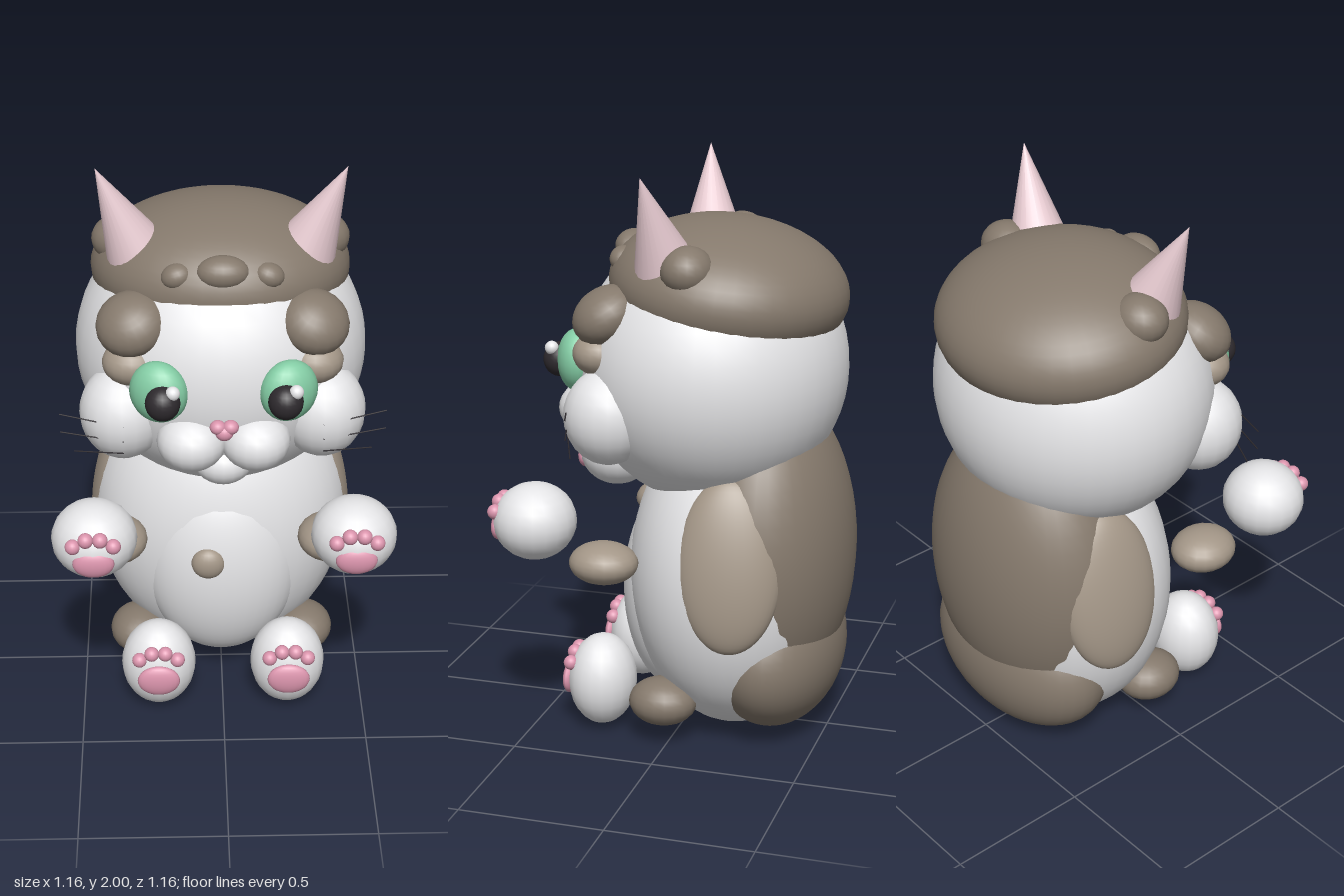
import * as THREE from 'three';

const mat = (name, color) => {
  const m = new THREE.MeshStandardMaterial({ color });
  m.name = name;
  return m;
};

export function createModel() {
  const white = mat('white fur', 0xececee);
  const brown = mat('brown fur', 0x85796c);
  const tan = mat('tan fur', 0xa39687);
  const pink = mat('paw pink', 0xdb95ad);
  const earPink = mat('ear pink', 0xe6cad0);
  const green = mat('eye green', 0x84cda5);
  const black = mat('black', 0x2e2a2e);

  const model = new THREE.Group();
  model.name = 'kitten';
  const big = new THREE.SphereGeometry(1, 40, 28);
  const small = new THREE.SphereGeometry(1, 20, 14);

  // Ellipsoid from centre, radii and rotation
  function blob(name, material, pos, radii, rot = [0, 0, 0], parent = model) {
    const mesh = new THREE.Mesh(Math.max(...radii) > 0.2 ? big : small, material);
    mesh.name = name;
    mesh.position.set(...pos);
    mesh.scale.set(...radii);
    mesh.rotation.set(...rot);
    parent.add(mesh);
  }

  // Same ellipsoid on both sides of x = 0
  function pair(name, material, [x, y, z], radii, [rx, ry, rz] = [0, 0, 0]) {
    blob(name + 'Left', material, [x, y, z], radii, [rx, ry, rz]);
    blob(name + 'Right', material, [-x, y, z], radii, [rx, -ry, -rz]);
  }

  // Body with coat patches
  blob('body', white, [0, 0.575, -0.17], [0.46, 0.57, 0.375]);
  blob('belly', white, [0, 0.49, 0.03], [0.285, 0.4, 0.21]);
  blob('bellySpot', tan, [-0.05, 0.57, 0.22], [0.06, 0.06, 0.04]);
  blob('backPatch', brown, [0, 0.66, -0.28], [0.41, 0.56, 0.3]);
  blob('rumpPatch', brown, [0, 0.3, -0.32], [0.39, 0.28, 0.23]);
  pair('flankPatch', tan, [0.365, 0.7, -0.235], [0.085, 0.3, 0.18], [0, 0.2, 0.2]);

  // Head
  blob('head', white, [0, 1.3, -0.075], [0.5, 0.48, 0.465]);
  blob('headCap', brown, [0, 1.575, -0.13], [0.442, 0.24, 0.41], [-0.12, 0, 0]);
  pair('cheek', white, [0.335, 1.18, 0.197], [0.148, 0.165, 0.152]);
  pair('muzzle', white, [0.106, 1.14, 0.33], [0.117, 0.1, 0.12]);
  blob('chin', white, [0, 1.03, 0.26], [0.105, 0.085, 0.11]);

  // Face markings
  pair('browPatch', brown, [0.298, 1.518, 0.213], [0.122, 0.092, 0.12], [0.5, 0, -0.25]);
  pair('eyePatch', tan, [0.3, 1.387, 0.235], [0.1, 0.075, 0.092]);
  blob('foreheadSpot', brown, [0, 1.7, 0.213], [0.088, 0.055, 0.06]);
  pair('foreheadSpotSmall', brown, [0.15, 1.682, 0.2], [0.053, 0.042, 0.046], [0, 0, -0.3]);

  // Ears
  for (const s of [1, -1]) {
    const base = new THREE.Vector3(s * 0.28, 1.685, 0.01);
    const tip = new THREE.Vector3(s * 0.41, 2, 0.056);
    const axis = tip.clone().sub(base);
    const ear = new THREE.Mesh(new THREE.ConeGeometry(0.108, axis.length(), 24), earPink);
    ear.name = s > 0 ? 'earLeft' : 'earRight';
    ear.position.copy(base).add(tip).multiplyScalar(0.5);
    ear.quaternion.setFromUnitVectors(new THREE.Vector3(0, 1, 0), axis.normalize());
    model.add(ear);
  }
  pair('earPatch', brown, [0.335, 1.69, -0.08], [0.1, 0.083, 0.09]);

  // Eyes, with both highlights shifted to the same side
  pair('iris', green, [0.213, 1.335, 0.347], [0.1, 0.108, 0.07], [0, 0.35, 0]);
  pair('pupil', black, [0.2, 1.33, 0.415], [0.058, 0.06, 0.057]);
  for (const x of [-0.167, 0.233]) {
    blob('eyeHighlight', white, [x, 1.375, 0.432], [0.024, 0.024, 0.024]);
  }

  // Nose
  pair('noseTop', pink, [0.021, 1.236, 0.413], [0.027, 0.024, 0.026]);
  blob('noseTip', pink, [0, 1.217, 0.415], [0.03, 0.028, 0.027]);

  // Whiskers
  for (const s of [1, -1]) {
    for (const [x, y0, y1] of [[0.545, 1.2, 1.213], [0.545, 1.145, 1.145], [0.5, 1.1, 1.07]]) {
      const path = new THREE.LineCurve3(
        new THREE.Vector3(s * 0.33, y0, 0.345),
        new THREE.Vector3(s * x, y1, 0.275));
      const whisker = new THREE.Mesh(new THREE.TubeGeometry(path, 1, 0.0025, 6), black);
      whisker.name = 'whisker';
      model.add(whisker);
    }
  }

  // Limbs
  pair('arm', tan, [0.37, 0.67, 0.208], [0.108, 0.072, 0.12]);
  pair('leg', brown, [0.3, 0.155, 0.02], [0.107, 0.083, 0.12]);

  // Paws with one palm pad and four toe pads each
  function paw(name, [x, y, z], radii, palm, palmRadii, toes, toeZ) {
    for (const s of [1, -1]) {
      const g = new THREE.Group();
      g.name = name + (s > 0 ? 'Left' : 'Right');
      g.position.set(s * x, y, z);
      blob(name, white, [0, 0, 0], radii, [0, 0, 0], g);
      blob('palmPad', pink, palm, palmRadii, [0, 0, 0], g);
      for (const [tx, ty] of toes) {
        for (const side of [1, -1]) {
          blob('toePad', pink, [side * tx, ty, toeZ], [0.026, 0.026, 0.026], [0, 0, 0], g);
        }
      }
      model.add(g);
    }
  }
  paw('hand', [0.437, 0.823, 0.428], [0.145, 0.132, 0.142],
    [0, -0.025, 0.122], [0.07, 0.052, 0.028], [[0.067, 0.04], [0.024, 0.064]], 0.118);
  paw('foot', [0.23, 0.182, 0.265], [0.132, 0.165, 0.12],
    [0, -0.003, 0.115], [0.075, 0.06, 0.025], [[0.067, 0.073], [0.024, 0.098]], 0.095);

  return model;
}
